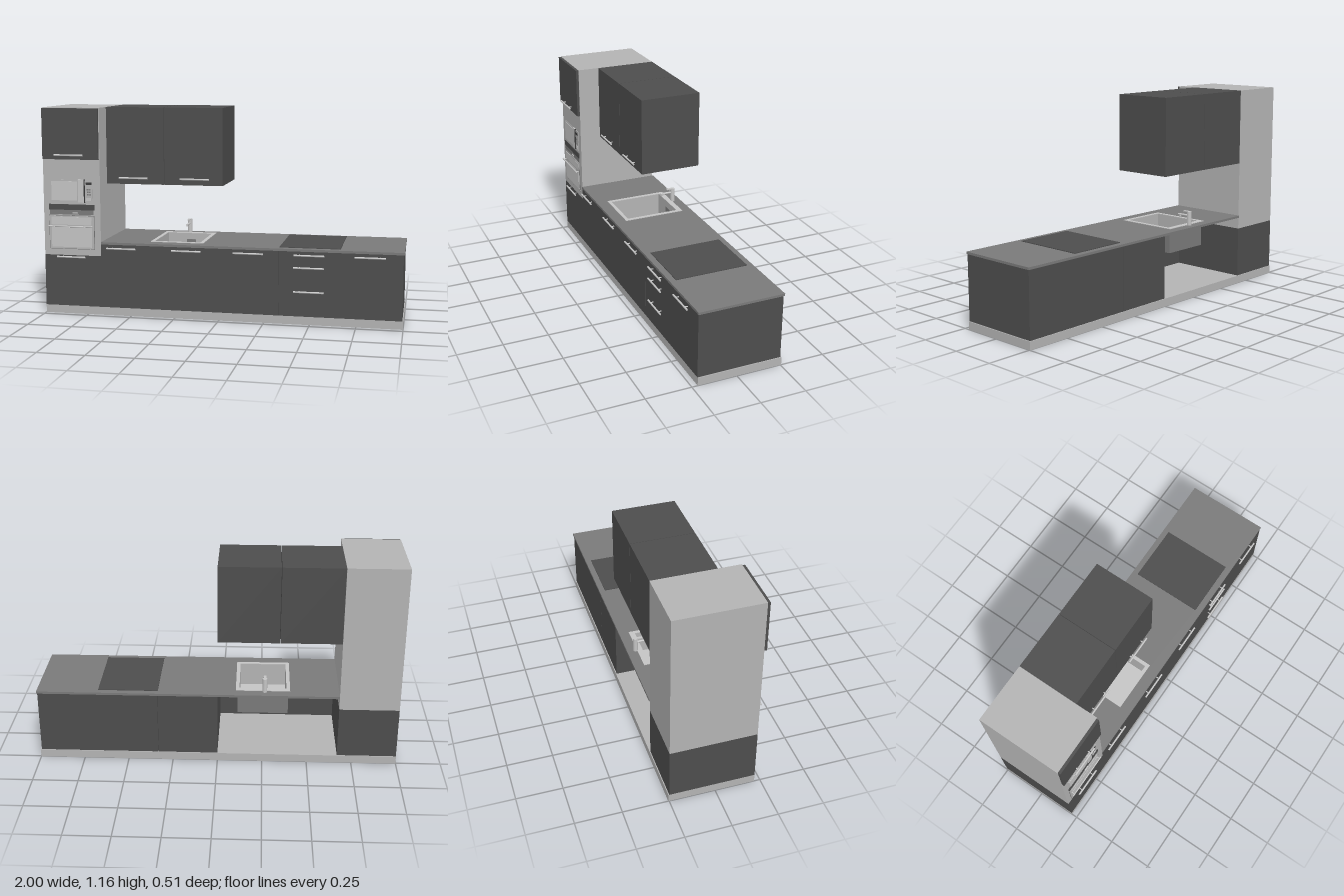
import * as THREE from 'three';

const mat = (name, color) => {
  const m = new THREE.MeshStandardMaterial({ color });
  m.name = name;
  return m;
};

export function createModel() {
  const root = new THREE.Group();
  root.name = 'kitchenUnit';
  const dark = mat('darkFront', 0x4d4d4d);
  const light = mat('lightCarcass', 0xb3b3b3);
  const stone = mat('worktopGrey', 0x7a7a7a);
  const steel = mat('steel', 0xc4c4c4);
  const black = mat('nearBlack', 0x3a3a3a);

  const add = (name, geo, material, parent = root) => {
    const m = new THREE.Mesh(geo, material);
    m.name = name;
    parent.add(m);
    return m;
  };
  // box given by its extents on each axis
  const box = (name, material, [x0, x1], [y0, y1], [z0, z1], parent = root) => {
    const m = add(name, new THREE.BoxGeometry(x1 - x0, y1 - y0, z1 - z0), material, parent);
    m.position.set((x0 + x1) / 2, (y0 + y1) / 2, (z0 + z1) / 2);
    return m;
  };
  // horizontal slab with a rectangular hole; rectangles are [x0, x1, z0, z1]
  const rect = (P, [x0, x1, z0, z1]) => {
    const p = new P();
    p.moveTo(x0, z0).lineTo(x1, z0).lineTo(x1, z1).lineTo(x0, z1).closePath();
    return p;
  };
  const ring = (name, material, outer, hole, top, depth) => {
    const s = rect({ prototype: null } && THREE.Shape, outer);
    s.holes.push(rect(THREE.Path, hole));
    const g = new THREE.ExtrudeGeometry(s, { depth, bevelEnabled: false });
    g.rotateX(Math.PI / 2);
    add(name, g, material).position.y = top;
  };
  const rod = (name, material, r, len, axis, x, y, z, parent = root) => {
    const g = new THREE.CylinderGeometry(r, r, len, 16);
    if (axis === 'x') g.rotateZ(Math.PI / 2);
    if (axis === 'z') g.rotateX(Math.PI / 2);
    add(name, g, material, parent).position.set(x, y, z);
  };
  // bar handle on two posts, z is the door surface
  const handle = (x, y, z) => {
    const g = new THREE.Group();
    g.name = 'handle';
    rod('handleBar', steel, 0.005, 0.165, 'x', 0, 0, 0.018, g);
    for (const s of [-1, 1]) rod('handlePost', steel, 0.003, 0.018, 'z', s * 0.052, 0, 0.009, g);
    g.position.set(x, y, z);
    root.add(g);
  };

  const B = -0.25, F = 0.218;

  // plinth
  box('plinth', light, [-1, 1], [0, 0.045], [-0.255, F]);

  // tall appliance cupboard
  box('tallBase', dark, [-1, -0.67], [0.045, 0.335], [B, F]);
  box('tallMiddle', light, [-1, -0.67], [0.335, 0.875], [B, F]);
  box('tallTop', light, [-1, -0.67], [0.875, 1.16], [B, F]);
  box('tallTopDoor', dark, [-0.997, -0.674], [0.875, 1.157], [F, 0.233]);

  // base units; the sink unit is open at the back
  box('sinkUnitFront', dark, [-0.67, 0], [0.045, 0.402], [F - 0.008, F]);
  box('baseUnit', dark, [0, 0.33], [0.045, 0.402], [B, F]);
  for (const [y0, y1] of [[0.045, 0.2], [0.2, 0.33], [0.33, 0.402]])
    box('drawer', dark, [0.332, 0.66], [y0, y1], [B, F]);
  box('endUnit', dark, [0.66, 0.995], [0.045, 0.402], [B, F]);

  // wall cupboards
  for (const x of [-0.67, -0.335])
    box('wallCupboard', dark, [x + 0.001, x + 0.333], [0.73, 1.16], [B, 0.095]);

  // worktop, hob and sink
  ring('worktop', stone, [-0.67, 1, -0.255, 0.22], [-0.39, -0.11, -0.19, 0.145], 0.415, 0.013);
  box('hob', dark, [0.33, 0.66], [0.415, 0.419], [-0.222, 0.185]);
  ring('sinkRim', steel, [-0.4, -0.1, -0.2, 0.155], [-0.38, -0.12, -0.17, 0.135], 0.418, 0.003);
  ring('sinkWalls', light, [-0.386, -0.114, -0.18, 0.141], [-0.38, -0.12, -0.17, 0.135], 0.415, 0.135);
  ring('sinkShell', stone, [-0.39, -0.11, -0.19, 0.145], [-0.386, -0.114, -0.18, 0.141], 0.415, 0.14);
  box('sinkFloor', steel, [-0.386, -0.114], [0.28, 0.285], [-0.18, 0.141]);
  box('sinkUnderside', stone, [-0.39, -0.11], [0.274, 0.28], [-0.19, 0.145]);
  box('sinkOverflow', stone, [-0.27, -0.215], [0.352, 0.38], [-0.17, -0.167]);

  // tap
  rod('tapBody', steel, 0.013, 0.08, 'y', -0.26, 0.455, -0.207);
  rod('tapSpout', steel, 0.006, 0.085, 'z', -0.26, 0.47, -0.17);
  rod('tapNozzle', steel, 0.007, 0.014, 'y', -0.26, 0.467, -0.142);
  box('tapLever', steel, [-0.267, -0.253], [0.491, 0.496], [-0.21, -0.168]);

  // handles
  for (const x of [-0.55, -0.18, 0.165, 0.495, 0.82]) handle(x, 0.383, F);
  for (const y of [0.315, 0.183]) handle(0.495, y, F);
  handle(-0.84, 0.327, F);
  handle(-0.84, 0.9, 0.233);
  handle(-0.51, 0.765, 0.095);
  handle(-0.16, 0.765, 0.095);

  // microwave
  box('microwaveFace', light, [-0.96, -0.712], [0.638, 0.76], [F, F + 0.003]);
  box('microwaveWindow', steel, [-0.952, -0.802], [0.645, 0.753], [F, F + 0.006]);
  box('microwaveGrip', steel, [-0.795, -0.762], [0.635, 0.765], [F, F + 0.009]);
  box('microwaveGripEdge', black, [-0.762, -0.757], [0.635, 0.765], [F, F + 0.009]);
  box('microwaveDisplay', black, [-0.75, -0.718], [0.734, 0.748], [F, F + 0.006]);
  for (let r = 0; r < 3; r++)
    for (let c = 0; c < 2; c++) {
      const x = -0.745 + c * 0.014, y = 0.705 - r * 0.014;
      box('microwaveButton', stone, [x, x + 0.008], [y, y + 0.006], [F, F + 0.006]);
    }
  box('microwaveRelease', steel, [-0.75, -0.72], [0.645, 0.662], [F, F + 0.006]);

  // oven
  box('ovenControlPanel', dark, [-0.97, -0.705], [0.592, 0.623], [F, F + 0.005]);
  box('ovenVent', stone, [-0.965, -0.71], [0.566, 0.592], [F, F + 0.003]);
  box('ovenDoorEdge', stone, [-0.97, -0.705], [0.37, 0.562], [F, F + 0.002]);
  box('ovenDoor', light, [-0.967, -0.708], [0.373, 0.559], [F, F + 0.004]);
  box('ovenUpperWindow', steel, [-0.955, -0.72], [0.508, 0.552], [F, F + 0.006]);
  box('ovenLowerWindow', steel, [-0.955, -0.72], [0.382, 0.494], [F, F + 0.006]);
  rod('ovenHandle', steel, 0.004, 0.26, 'x', -0.838, 0.501, F + 0.022);
  for (const x of [-0.955, -0.72]) rod('ovenHandlePost', steel, 0.003, 0.022, 'z', x, 0.501, F + 0.011);
  rod('ovenLatch', steel, 0.004, 0.03, 'x', -0.815, 0.575, F + 0.004);

  return root;
}
